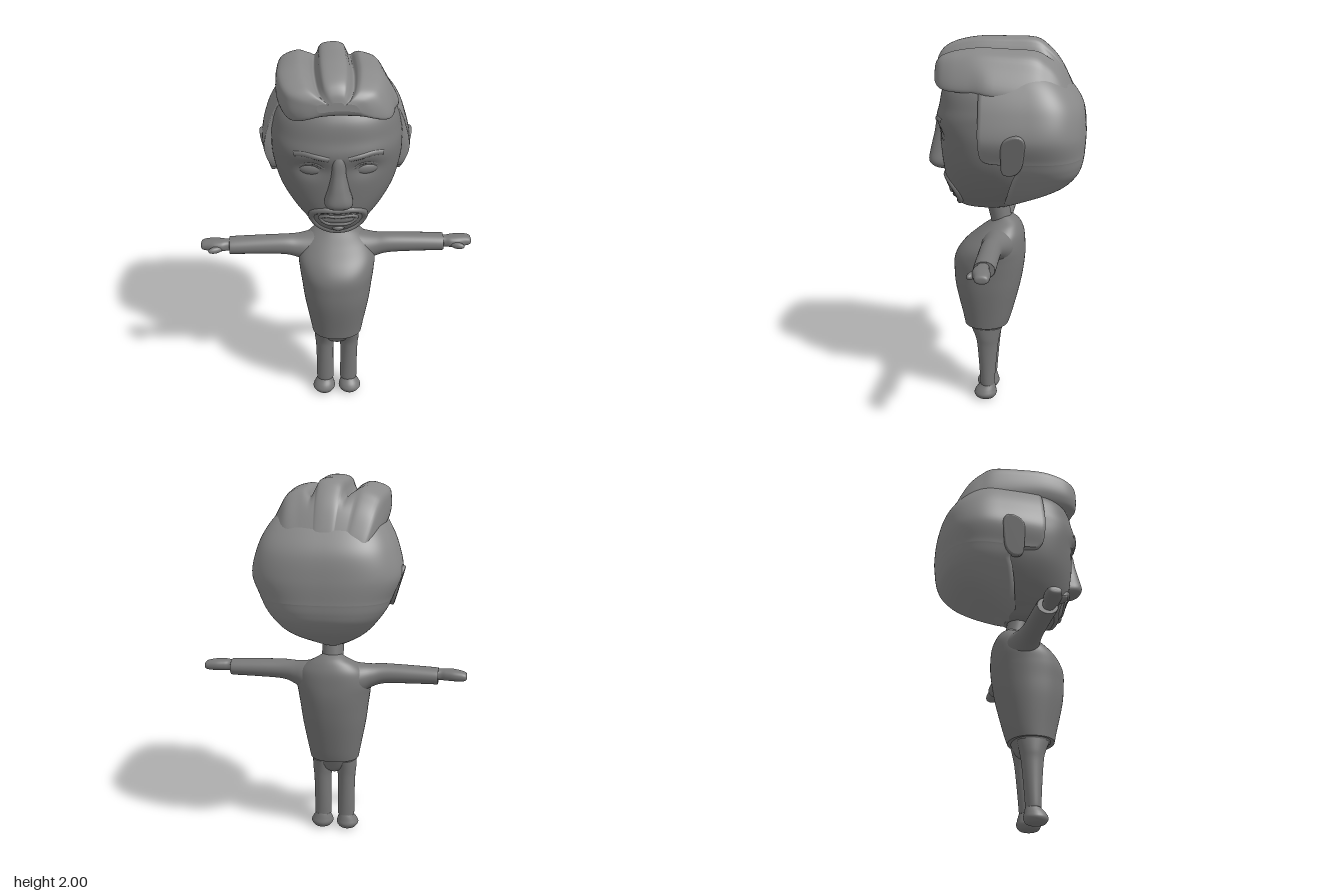
import * as THREE from 'three';

const bodyGrey = new THREE.MeshStandardMaterial({ color: 0x787878 });
const hairGrey = new THREE.MeshStandardMaterial({ color: 0x8a8a8a, side: THREE.DoubleSide });
const step = THREE.MathUtils.smoothstep;

// Catmull-Rom through rows of numbers
function smooth(rows, per = 6) {
  const out = [], n = rows.length;
  for (let i = 0; i < n - 1; i++) {
    const [a, b, c, d] = [rows[Math.max(i - 1, 0)], rows[i], rows[i + 1], rows[Math.min(i + 2, n - 1)]];
    for (let k = 0; k < per; k++) {
      const t = k / per;
      out.push(b.map((v, j) => v + 0.5 * t * (c[j] - a[j] + t * (2 * a[j] - 5 * v + 4 * c[j] - d[j] + t * (3 * (v - c[j]) + d[j] - a[j])))));
    }
  }
  out.push(rows[n - 1]);
  return out;
}

// Skin a stack of rings, optionally closed around and capped at both ends
function skin(rings, closed = true, caps = true) {
  const n = rings[0].length, pos = [], idx = [];
  rings.forEach(r => r.forEach(p => pos.push(p[0], p[1], p[2])));
  for (let i = 0; i < rings.length - 1; i++)
    for (let j = 0; j < (closed ? n : n - 1); j++) {
      const a = i * n + j, b = i * n + (j + 1) % n;
      idx.push(a, a + n, b, b, a + n, b + n);
    }
  if (caps) [rings[0], rings[rings.length - 1]].forEach((r, end) => {
    const base = pos.length / 3;
    r.forEach(p => pos.push(...p));
    pos.push(...[0, 1, 2].map(k => r.reduce((s, p) => s + p[k], 0) / n));
    for (let j = 0; j < n; j++) {
      const a = base + j, b = base + (j + 1) % n;
      idx.push(...(end ? [a, base + n, b] : [a, b, base + n]));
    }
  });
  const g = new THREE.BufferGeometry();
  g.setAttribute('position', new THREE.Float32BufferAttribute(pos, 3));
  g.setIndex(idx);
  g.computeVertexNormals();
  return g;
}

const pw = (v, e) => Math.sign(v) * Math.abs(v) ** e;

// Loft rows [t, halfWidth, zFront, zBack, offset] with superellipse sections
function loft(rows, { p = 2, n = 40, per = 6, alongX = false } = {}) {
  return skin(smooth(rows, per).map(([t, r, f, b, off = 0]) => Array.from({ length: n }, (_, j) => {
    const a = j / n * Math.PI * 2;
    const u = r * pw(Math.cos(a), 2 / p), z = (f + b) / 2 + (f - b) / 2 * pw(Math.sin(a), 2 / p);
    return alongX ? [t, off - u, z] : [off + u, t, z];
  })));
}

const faceRows = [
  [1.11, .05, .13, 0], [1.125, .1, .235, -.04], [1.16, .135, .272, -.08], [1.2, .175, .293, -.12],
  [1.28, .237, .318, -.18], [1.38, .29, .332, -.2], [1.5, .32, .345, -.2], [1.59, .325, .36, -.2],
  [1.66, .32, .344, -.2], [1.76, .29, .318, -.2], [1.85, .2, .24, -.15], [1.9, .1, .14, -.08]];

// Depth of the face surface at a point seen from the front
function faceZ(x, y) {
  const i = Math.max(1, faceRows.findIndex(r => r[0] >= y)), a = faceRows[i - 1], b = faceRows[i];
  const [, r, f, k] = a.map((v, j) => v + (b[j] - v) * (y - a[0]) / (b[0] - a[0]));
  return (f + k) / 2 + (f - k) / 2 * Math.max(0, 1 - Math.abs(x / r) ** 2.3) ** (1 / 2.3);
}

// Tube following the face through front-view points
function faceTube(points, radius, closed, lift = 0) {
  const c = new THREE.CatmullRomCurve3(points.map(([x, y]) => new THREE.Vector3(x, y, faceZ(x, y) + lift)), closed);
  return new THREE.TubeGeometry(c, 64, radius, 10, closed);
}

export function createModel() {
  const model = new THREE.Group();
  const add = (name, geo, parent = model, mat = bodyGrey) => {
    const m = new THREE.Mesh(geo, mat);
    m.name = name;
    parent.add(m);
    return m;
  };
  const blob = (name, parent, pos, size) => {
    const m = add(name, new THREE.SphereGeometry(1, 28, 18), parent);
    m.position.set(...pos);
    m.scale.set(...size);
    return m;
  };

  // Face with shallow eye sockets
  const face = loft(faceRows, { p: 2.3, n: 96, per: 8 });
  const fp = face.attributes.position;
  for (let i = 0; i < fp.count; i++) {
    const x = Math.abs(fp.getX(i)), y = fp.getY(i);
    if (fp.getZ(i) > .15) fp.setZ(i, fp.getZ(i) - .022 * Math.exp(-(((x - .13) / .07) ** 2) - ((y - 1.52) / .045) ** 2));
  }
  face.computeVertexNormals();
  add('face', face);
  add('nose', loft([[1.312, .04, .345, .25], [1.325, .062, .385, .25], [1.355, .07, .41, .26], [1.42, .052, .4, .26],
    [1.5, .036, .38, .28], [1.57, .034, .366, .28], [1.63, .025, .34, .28]], { n: 32, p: 2.6 }));

  // Back and side hair: an open shell with sideburns
  // rows: y, half width, back z, front edge z, centre z
  const hairRows = smooth([
    [1.115, .04, -.03, .03, .01], [1.15, .11, -.11, .005, -.02], [1.2, .178, -.235, -.015, -.07], [1.25, .23, -.325, -.03, -.11],
    [1.31, .278, -.38, -.05, -.13], [1.36, .312, -.4, -.065, -.13], [1.405, .333, -.408, -.02, -.13], [1.425, .341, -.41, .09, -.13],
    [1.53, .378, -.415, .11, -.13], [1.655, .352, -.4, .11, -.13], [1.75, .308, -.345, .11, -.12], [1.83, .245, -.27, .1, -.08],
    [1.89, .15, -.18, .08, -.04], [1.91, .04, -.08, .04, -.03]], 8);
  add('backHair', skin(hairRows.map(([y, w, back, edge, c]) => {
    const p = 2.7, start = Math.asin(Math.max(0, (edge - c) / .55) ** (p / 2)), ring = [], n = 100;
    for (let j = 0; j <= n; j++) {
      const a = start - (Math.PI + 2 * start) * j / n, s = pw(Math.sin(a), 2 / p);
      ring.push([w * pw(Math.cos(a), 2 / p), y, c + s * (s > 0 ? .55 : c - back)]);
    }
    // turned-in lip along the front edge
    ring.unshift([ring[0][0] * .86, y, ring[0][2] - .005]);
    ring.push([-ring[0][0], y, ring[0][2]]);
    return ring.reverse();
  }), false, false), model, hairGrey);

  // Swept top hair: a ridged outline carried from front to back, its two grooves fading behind
  const outline = smooth([[0, 1.785], [.15, 1.775], [.262, 1.75], [.28, 1.78], [.25, 1.87], [.205, 1.932], [.13, 1.955], [.1, 1.945],
    [.078, 1.92], [.055, 1.965], [.035, 1.992], [-.015, 2], [-.075, 1.988], [-.095, 1.945], [-.11, 1.922], [-.135, 1.945],
    [-.19, 1.966], [-.275, 1.938], [-.292, 1.88], [-.285, 1.8], [-.24, 1.748], [-.12, 1.775], [0, 1.785]], 5).slice(0, -1);
  // stations: z, width scale, top y, bottom y
  const stations = smooth([[.355, .35, 1.87, 1.82], [.345, .58, 1.905, 1.79], [.32, .78, 1.94, 1.768], [.28, .89, 1.965, 1.755],
    [.22, .96, 1.985, 1.75], [.12, 1.01, 2, 1.745], [-.02, 1.01, 2, 1.72], [-.15, .98, 1.995, 1.69],
    [-.22, .93, 1.95, 1.67], [-.28, .87, 1.88, 1.65], [-.33, .78, 1.78, 1.62], [-.36, .68, 1.7, 1.6]], 5);
  add('topHair', skin(stations.map(([z, s, top, bottom]) => outline.map(([x, y]) => {
    const crown = 1.985 - 1.15 * (x + .02) ** 2;
    const h = y > 1.9 && Math.abs(x) < .2 ? y + (Math.max(y, crown) - y) * (1 - step(z, -.29, -.1)) : y;
    // the +x flank flares down into the side hair behind the forehead
    const flare = x > .2 ? .022 * (1 - step(z, .06, .16)) * (1 - step(y, 1.76, 1.9)) : 0;
    return [x * s + flare, bottom + (h - 1.748) / .252 * (top - bottom), z];
  }))), model, hairGrey);

  // Goatee, mouth and chin tuft
  add('goatee', faceTube([[0, 1.285], [.07, 1.287], [.122, 1.265], [.13, 1.22], [.098, 1.17], [.04, 1.145],
    [-.04, 1.145], [-.098, 1.17], [-.13, 1.22], [-.122, 1.265], [-.07, 1.287]], .019, true, -.007));
  add('lips', faceTube([[0, 1.247], [.075, 1.25], [.09, 1.235], [.06, 1.203], [0, 1.197],
    [-.06, 1.203], [-.09, 1.235], [-.075, 1.25]], .011, true, -.002));
  blob('teeth', model, [0, 1.226, .284], [.085, .024, .02]);
  blob('chinTuft', model, [0, 1.168, .272], [.032, .016, .018]);

  // Neck and jumper
  add('neck', loft([[.98, .06, .07, -.04], [1.06, .058, .09, -.025], [1.14, .06, .11, -.01]], { n: 32 }));
  add('jumper', loft([[.44, .135, .23, -.01], [.5, .146, .242, -.03], [.65, .174, .275, -.07], [.75, .187, .284, -.09],
    [.83, .198, .279, -.1], [.9, .203, .235, -.1], [.965, .178, .16, -.094], [1.01, .13, .1, -.078],
    [1.04, .08, .062, -.058], [1.06, .05, .045, -.03]], { p: 2.2, n: 56 }));
  add('hips', loft([[.352, .012, .125, .075], [.358, .03, .145, .055], [.375, .065, .163, .038], [.4, .105, .18, .026],
    [.45, .126, .215, .005]], { p: 2.3 }));

  // Flat ear outline, drawn with backwards to the right
  const earShape = new THREE.Shape();
  earShape.moveTo(-.045, -.1);
  earShape.bezierCurveTo(0, -.115, .03, -.085, .038, -.04);
  earShape.lineTo(.052, .05);
  earShape.bezierCurveTo(.055, .11, .01, .105, -.02, .09);
  earShape.bezierCurveTo(-.06, .075, -.055, .03, -.055, -.02);
  earShape.bezierCurveTo(-.055, -.06, -.06, -.09, -.045, -.1);
  const earGeo = new THREE.ExtrudeGeometry(earShape, { depth: .03, bevelSize: .008, bevelThickness: .008, bevelSegments: 3, curveSegments: 10 });
  earGeo.translate(0, 0, -.038).rotateY(Math.PI / 2).rotateZ(-.29);

  // Mirrored parts, built for the +x side
  for (const side of [1, -1]) {
    const half = new THREE.Group();
    half.name = side > 0 ? 'leftSide' : 'rightSide';
    half.scale.x = side;
    model.add(half);

    add('ear', earGeo, half).position.set(.363, 1.458, -.065);
    blob('eye', half, [.132, 1.513, faceZ(.132, 1.513) - .029], [.06, .031, .02]).rotation.y = .2;
    add('upperEyelid', faceTube([[.068, 1.525], [.1, 1.548], [.14, 1.553], [.195, 1.53]], .01, false, -.019), half);
    add('eyebrow', faceTube([[.045, 1.582], [.1, 1.592], [.16, 1.602], [.21, 1.597]], .017, false, -.011), half);

    add('sleeve', loft([[.08, .095, .125, -.07, .922], [.15, .084, .122, -.05, .922], [.21, .064, .114, -.02, .937],
      [.28, .054, .112, -.002, .949], [.42, .049, .111, 0, .95], [.555, .045, .111, 0, .948], [.566, .042, .108, .004, .948]], { alongX: true }), half);
    add('hand', loft([[.54, .033, .09, .025, .953], [.58, .03, .095, .03, .955], [.61, .031, .105, .022, .956], [.65, .031, .104, .014, .956],
      [.69, .028, .092, .014, .954], [.712, .022, .086, .018, .953], [.72, .014, .077, .026, .952], [.722, .005, .06, .04, .951]],
      { n: 32, p: 2.3, alongX: true }), half);
    blob('thumb', half, [.642, .948, .106], [.04, .018, .018]).rotation.y = -.4;

    add('trouserLeg', loft([[.085, .045, .14, .062, .066], [.1, .047, .142, .062, .066], [.22, .047, .149, .052, .067],
      [.32, .049, .157, .042, .068], [.37, .055, .166, .034, .067], [.43, .057, .19, .02, .067]], { n: 32 }), half);
    add('shoe', loft([[0, .03, .145, .08, .072], [.008, .048, .163, .062, .072], [.03, .062, .175, .05, .073],
      [.055, .055, .166, .054, .071], [.08, .042, .145, .06, .068], [.095, .036, .135, .066, .066]], { n: 32 }), half);
  }
  return model;
}
